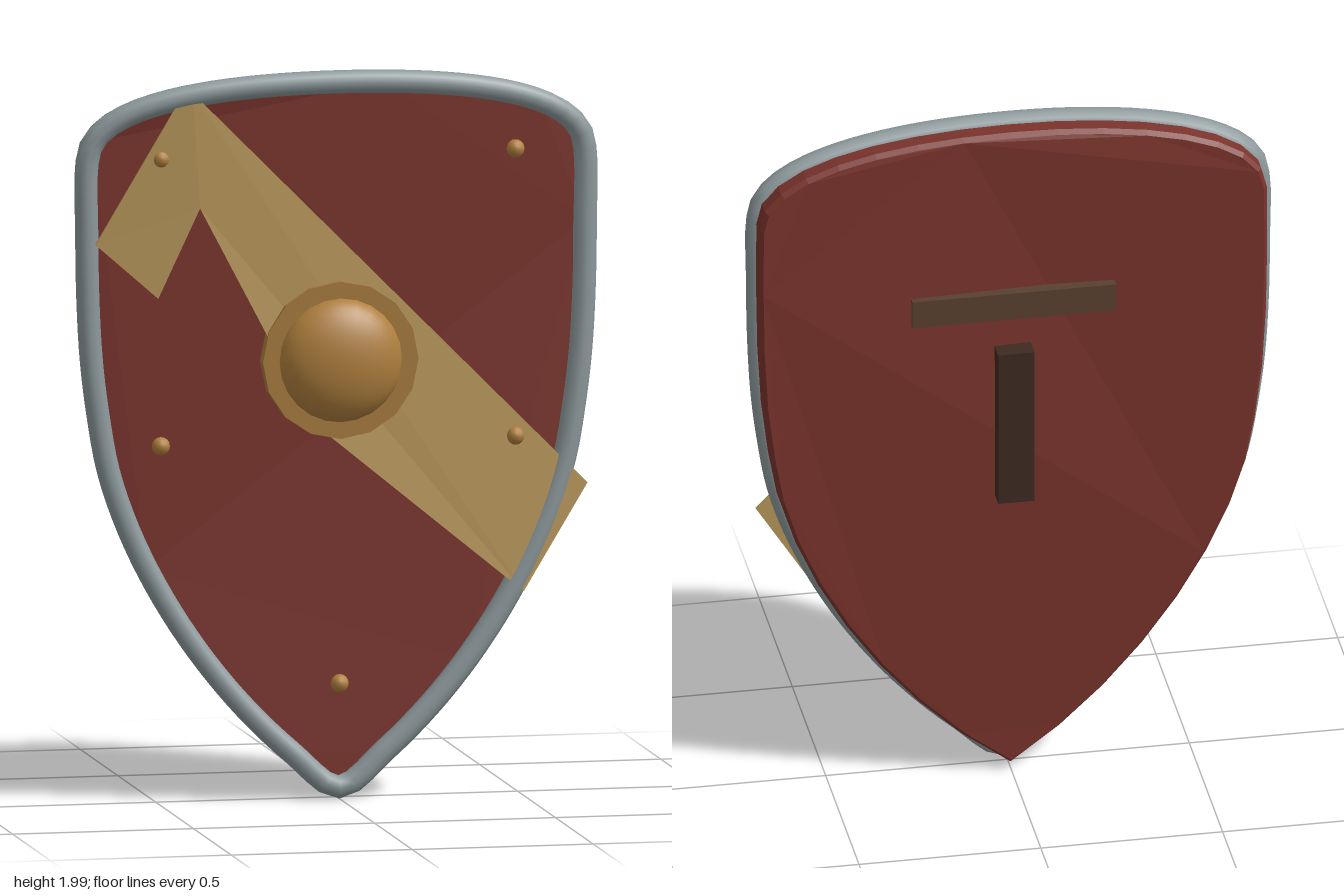
import * as THREE from 'three';

const mat = (color, extra = {}) => new THREE.MeshStandardMaterial({ color, ...extra });
const V2 = (x, y) => new THREE.Vector2(x, y);

// Backward curve of the shield, as a depth offset at x
const sweep = (x) => -0.08 * x * x;

function bend(geometry) {
  const p = geometry.attributes.position;
  for (let i = 0; i < p.count; i++) p.setZ(i, p.getZ(i) + sweep(p.getX(i)));
  geometry.computeVertexNormals();
  return geometry;
}

// Heater outline: half of it from curves, then mirrored
function outline() {
  const pieces = [
    [[0, 1.968], [0.35, 1.968], [0.69, 1.92], [0.688, 1.76], 8],
    [[0.688, 1.76], [0.69, 1.5], [0.69, 1.25], [0.655, 1.05], 4],
    [[0.655, 1.05], [0.62, 0.72], [0.35, 0.27], [0, 0.04], 8],
  ];
  const half = [];
  for (const [a, b, c, d, n] of pieces) {
    const curve = new THREE.CubicBezierCurve(V2(...a), V2(...b), V2(...c), V2(...d));
    half.push(...curve.getPoints(n).slice(0, -1));
  }
  const mirrored = half.slice(1).reverse().map((p) => V2(-p.x, p.y));
  return [...half, V2(0, 0.04), ...mirrored];
}

export function createModel() {
  const group = new THREE.Group();
  const add = (name, geometry, material, x = 0, y = 0, z = 0) => {
    const mesh = new THREE.Mesh(geometry, material);
    mesh.name = name;
    mesh.position.set(x, y, z);
    group.add(mesh);
    return mesh;
  };

  const gold = mat(0xb0803e);
  const points = outline();

  // Board with a small bevel, curved back at the sides
  const board = new THREE.ExtrudeGeometry(new THREE.Shape(points), {
    depth: 0.05, bevelEnabled: true, bevelThickness: 0.015, bevelSize: 0.01, bevelSegments: 1,
  });
  board.translate(0, 0, -0.045);
  add('board', bend(board), mat(0x7a332c, { flatShading: true }));

  // Metal rim following the outline
  const path = new THREE.CatmullRomCurve3(
    points.map((p) => new THREE.Vector3(p.x, p.y, 0.028 + sweep(p.x))), true);
  add('rim', new THREE.TubeGeometry(path, 128, 0.032, 10, true), mat(0x8d999c));

  // Diagonal band with a notched upper end
  const band = new THREE.ExtrudeGeometry(new THREE.Shape([
    V2(-0.43, 1.95), V2(-0.405, 1.95), V2(0.69, 0.85), V2(0.51, 0.56),
    V2(-0.075, 1.04), V2(-0.386, 1.635), V2(-0.5, 1.39), V2(-0.67, 1.54),
  ]), { depth: 0.006, bevelEnabled: false });
  band.translate(0, 0, 0.048);
  add('diagonalBand', bend(band), mat(0xb8975a, { flatShading: true }));

  // Central boss: flat flange and squashed dome
  const flange = new THREE.CylinderGeometry(0.215, 0.215, 0.04, 16).rotateX(Math.PI / 2);
  add('bossFlange', flange, mat(0xa67a3c, { flatShading: true }), 0, 1.21, 0.035);
  const dome = new THREE.SphereGeometry(0.17, 24, 12, 0, Math.PI * 2, 0, Math.PI / 2);
  dome.rotateX(Math.PI / 2).scale(1, 1, 0.5);
  add('bossDome', dome, gold, 0, 1.21, 0.048);

  // Rivets
  for (const [x, y] of [[-0.49, 1.77], [0.49, 1.77], [-0.49, 0.985], [0.49, 0.985], [0, 0.325]]) {
    add('rivet', new THREE.SphereGeometry(0.025, 12, 8), gold, x, y, 0.04 + sweep(x));
  }

  // Arm strap and hand grip on the back
  add('armStrap', new THREE.BoxGeometry(0.56, 0.08, 0.044), mat(0x5a4030), 0, 1.47, -0.081);
  add('handGrip', new THREE.BoxGeometry(0.1, 0.46, 0.075), mat(0x3d2a22), 0, 1.11, -0.0975);

  return group;
}
